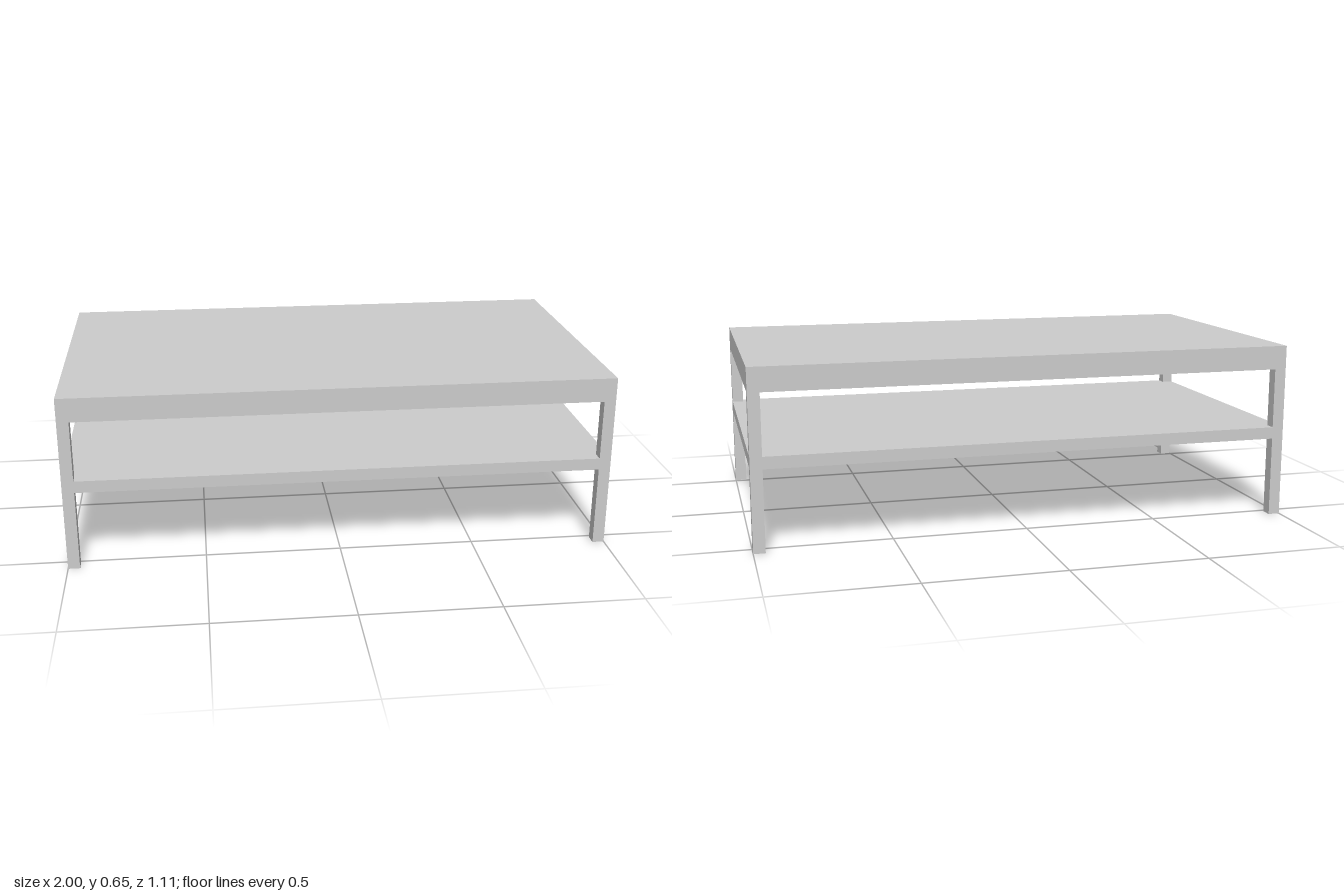
import * as THREE from 'three';

const W = 1, D = 0.555, T = 0.043; // half width, half depth, bar thickness
const TOP = 0.653, SLAB = 0.609, RAIL = 0.565, SHELF = 0.298;

export function createModel() {
  const group = new THREE.Group();
  const material = new THREE.MeshStandardMaterial({ color: 0xcccccc });

  const add = (name, geometry, x, y, z) => {
    const mesh = new THREE.Mesh(geometry, material);
    mesh.name = name;
    mesh.position.set(x, y, z);
    group.add(mesh);
  };
  const box = (name, w, h, d, x, y, z) =>
    add(name, new THREE.BoxGeometry(w, h, d), x, y + h / 2, z);

  // Table top slab
  box('tableTop', 2 * W, TOP - SLAB, 2 * D, 0, SLAB, 0);

  // Square legs in the corners
  for (const sx of [-1, 1])
    for (const sz of [-1, 1])
      box((sz > 0 ? 'front' : 'back') + (sx > 0 ? 'Left' : 'Right') + 'Leg',
        T, SLAB, T, sx * (W - T / 2), 0, sz * (D - T / 2));

  // Rails under the top, flush with the legs
  for (const s of [-1, 1]) {
    box(s > 0 ? 'frontRail' : 'backRail', 2 * (W - T), SLAB - RAIL, T, 0, RAIL, s * (D - T / 2));
    box(s > 0 ? 'leftRail' : 'rightRail', T, SLAB - RAIL, 2 * (D - T), s * (W - T / 2), RAIL, 0);
  }

  // Shelf with its corners notched around the legs
  const a = W - T, b = D - T;
  const outline = new THREE.Shape([
    [a, -D], [a, -b], [W, -b], [W, b], [a, b], [a, D],
    [-a, D], [-a, b], [-W, b], [-W, -b], [-a, -b], [-a, -D],
  ].map(([x, y]) => new THREE.Vector2(x, y)));
  const shelf = new THREE.ExtrudeGeometry(outline, { depth: 0.044, bevelEnabled: false });
  shelf.rotateX(-Math.PI / 2);
  add('shelf', shelf, 0, SHELF, 0);

  return group;
}
